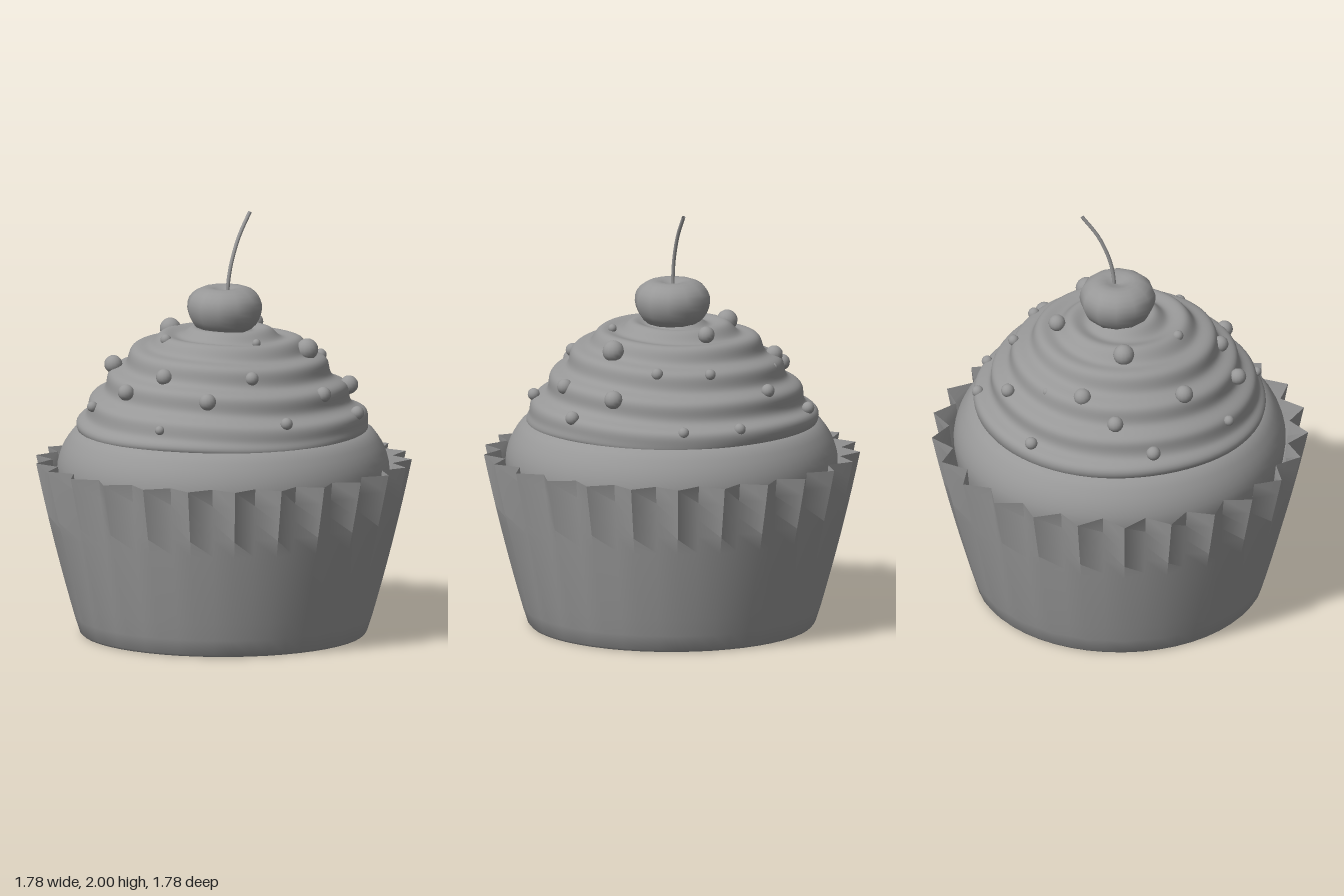
import * as THREE from 'three';
import { mergeVertices, toCreasedNormals } from 'three/addons/utils/BufferGeometryUtils.js';

const color = 0x989898;
const grey = new THREE.MeshStandardMaterial({ color });
const greyThin = new THREE.MeshStandardMaterial({ color, side: THREE.DoubleSide });

const pts = (list) => list.map(([r, y]) => new THREE.Vector2(r, y));

// Smooth profile through a few points
const smooth = (list, n) => new THREE.SplineCurve(pts(list)).getSpacedPoints(n)
  .map((p) => new THREE.Vector2(Math.max(p.x, 0), p.y));

function part(group, name, geometry, material = grey) {
  const mesh = new THREE.Mesh(geometry, material);
  mesh.name = name;
  group.add(mesh);
  return mesh;
}

// Pleated cup: round at the base, 25 sharp folds at the rim
function wrapperGeometry() {
  const pleats = 25, height = 0.83, rows = 10;
  const profile = [[0, 0], [0.6, 0], [0.67, 0.001], [0.681, 0.012]];
  for (let i = 1; i <= rows; i++) {
    const t = i / rows;
    profile.push([0.68 + 0.25 * t - 0.038 * t * t, height * t]);
  }
  const geo = new THREE.LatheGeometry(pts(profile), pleats * 2, -Math.PI / 2);
  const pos = geo.attributes.position;
  for (let i = 0; i < pos.count; i++) {
    const column = Math.floor(i / profile.length);
    if (column % 2 === 0) continue;
    // every other column is a valley
    const t = pos.getY(i) / height;
    const r = Math.hypot(pos.getX(i), pos.getZ(i));
    const k = r > 0 ? (r - 0.085 * t) / r : 1;
    pos.setX(i, pos.getX(i) * k);
    pos.setZ(i, pos.getZ(i) * k);
  }
  return toCreasedNormals(geo, 1.15);
}

// Swirled icing: a domed lathe pushed in and out along a spiral
function frostingGeometry() {
  const rows = 96, turns = 6.5;
  const profile = smooth([[0.6, 0.965], [0.67, 0.967], [0.69, 0.995], [0.677, 1.04], [0.63, 1.1],
    [0.578, 1.18], [0.513, 1.26], [0.445, 1.335], [0.37, 1.395], [0.26, 1.435], [0.14, 1.46], [0, 1.47]], rows);
  let geo = new THREE.LatheGeometry(profile, 72);
  const pos = geo.attributes.position, nor = geo.attributes.normal;
  const p = new THREE.Vector3(), n = new THREE.Vector3();
  for (let i = 0; i < pos.count; i++) {
    p.fromBufferAttribute(pos, i);
    n.fromBufferAttribute(nor, i);
    const t = (i % (rows + 1)) / rows;
    const angle = Math.atan2(p.x, p.z);
    const fade = THREE.MathUtils.smoothstep(t, 0.06, 0.18) * (1 - THREE.MathUtils.smoothstep(t, 0.82, 1));
    p.addScaledVector(n, 0.015 * fade * Math.sin(turns * t * Math.PI * 2 + angle));
    p.y += 0.006 * Math.sin(angle * 4) * (1 - t);
    pos.setXYZ(i, p.x, p.y, p.z);
  }
  geo.deleteAttribute('normal');
  geo.deleteAttribute('uv');
  geo = mergeVertices(geo, 1e-4);
  geo.computeVertexNormals();
  return geo;
}

// Sugar pearls: x, y, z, radius
const pearls = [
  [-0.182, 1.08, -0.615, 0.034], [0, 1.21, -0.57, 0.038], [-0.32, 1.285, -0.41, 0.043],
  [-0.53, 1.115, -0.365, 0.025], [0.16, 1.29, -0.46, 0.041], [0.4, 1.07, -0.53, 0.03],
  [0.33, 1.265, -0.38, 0.022], [0.52, 1.2, -0.27, 0.032], [-0.03, 1.43, -0.3, 0.05],
  [-0.565, 1.215, -0.13, 0.039], [-0.28, 1.43, -0.12, 0.026], [-0.475, 1.295, 0.03, 0.039],
  [-0.645, 1.075, 0.143, 0.022], [-0.485, 1.208, 0.305, 0.04], [-0.266, 1.3, 0.396, 0.032],
  [-0.08, 1.43, 0.27, 0.02], [0.17, 1.378, 0.375, 0.052], [0.415, 1.305, 0.255, 0.028],
  [0.635, 1.06, 0.215, 0.026], [0.67, 1.062, -0.06, 0.028], [0.295, 1.445, -0.05, 0.04],
  [0.503, 1.3, 0.02, 0.026], [0.373, 1.19, 0.463, 0.044], [0.05, 1.2, 0.573, 0.037],
  [-0.255, 1.105, 0.6, 0.029], [0.245, 1.09, 0.62, 0.033],
];

export function createModel() {
  const model = new THREE.Group();
  model.name = 'cupcake';

  part(model, 'paperWrapper', wrapperGeometry(), greyThin);

  // Cake dome rising out of the wrapper
  const cake = smooth([[0.7, 0.45], [0.755, 0.62], [0.784, 0.76], [0.779, 0.84], [0.745, 0.92],
    [0.68, 0.985], [0.5, 1.02]], 24);
  part(model, 'cake', new THREE.LatheGeometry(cake, 64), greyThin);

  part(model, 'frosting', frostingGeometry(), greyThin);

  // Pearls scattered over the frosting
  const sprinkles = new THREE.Group();
  sprinkles.name = 'sprinkles';
  const ball = new THREE.SphereGeometry(1, 14, 10);
  for (const [x, y, z, r] of pearls) {
    const pearl = part(sprinkles, 'sprinkle', ball);
    pearl.position.set(x, y, z);
    pearl.scale.setScalar(r);
  }
  model.add(sprinkles);

  // Cherry with a dimple on top, and its bent stem
  const cherry = smooth([[0, 1.43], [0.09, 1.44], [0.15, 1.48], [0.179, 1.55], [0.168, 1.61],
    [0.12, 1.65], [0.07, 1.656], [0.03, 1.642], [0, 1.635]], 18);
  part(model, 'cherry', new THREE.LatheGeometry(cherry, 12)).position.x = 0.01;

  const stemPath = new THREE.CatmullRomCurve3([[0.026, 1.62, 0.004], [0.03, 1.68, 0.006], [0.05, 1.77, 0.009],
    [0.102, 1.89, 0.013], [0.178, 1.996, 0.016]].map((p) => new THREE.Vector3(...p)));
  part(model, 'cherryStem', new THREE.TubeGeometry(stemPath, 16, 0.009, 8), greyThin);

  return model;
}
